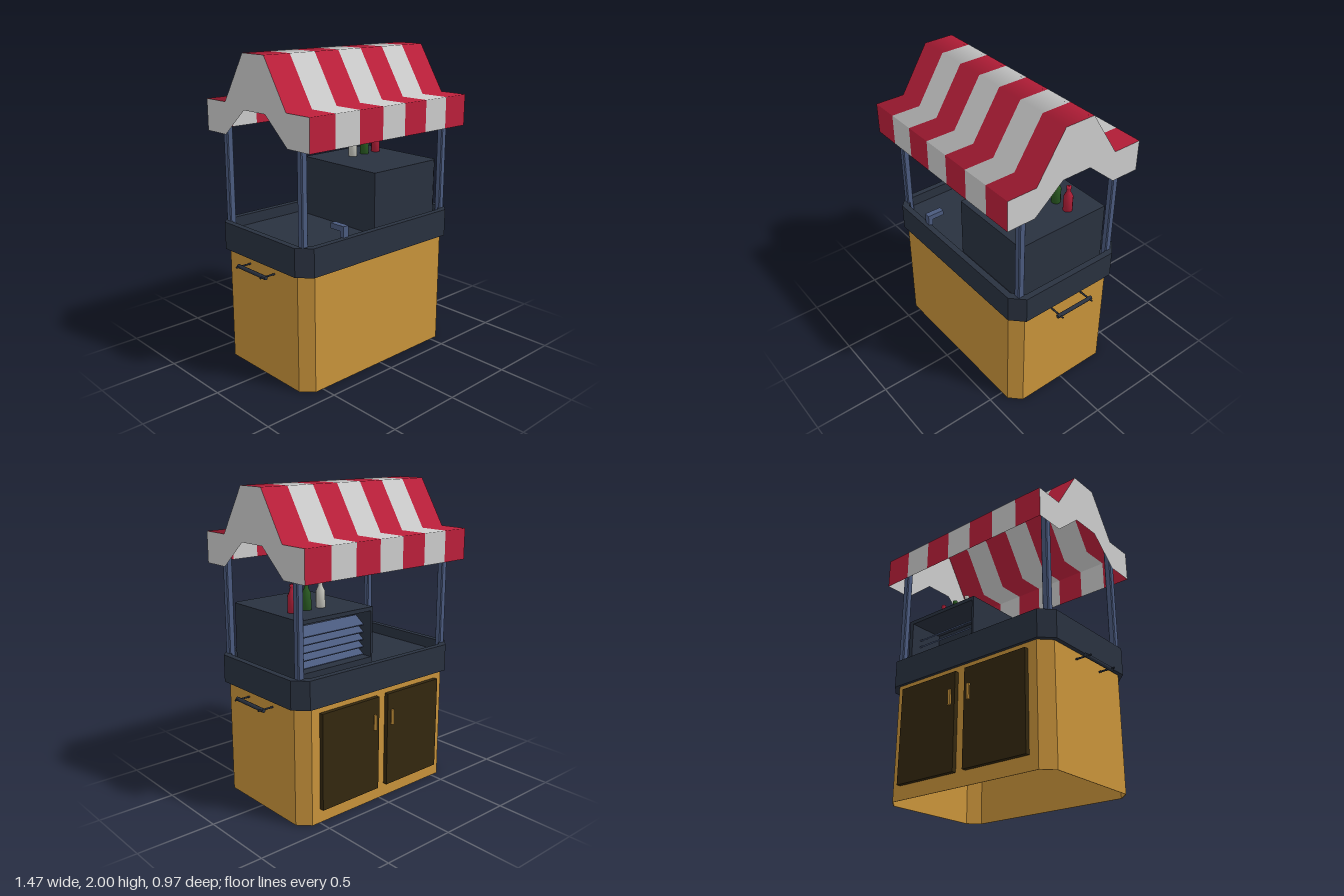
import * as THREE from 'three';

const mat = (color, side = THREE.FrontSide) => new THREE.MeshStandardMaterial({ color, side });
const WOOD = mat(0xc8933a), DARK = mat(0x29313f), STEEL = mat(0x4a5a7e), DOOR = mat(0x33270f);
const RED = mat(0xbb1f3a, THREE.DoubleSide), GREY = mat(0xcccccc, THREE.DoubleSide);

export function createModel() {
  const model = new THREE.Group();

  const add = (name, geometry, material, x = 0, y = 0, z = 0) => {
    const mesh = new THREE.Mesh(geometry, material);
    mesh.name = name;
    mesh.position.set(x, y, z);
    model.add(mesh);
    return mesh;
  };
  // Box given by its minimum and maximum corners
  const block = (name, material, [x0, y0, z0], [x1, y1, z1]) =>
    add(name, new THREE.BoxGeometry(x1 - x0, y1 - y0, z1 - z0), material,
      (x0 + x1) / 2, (y0 + y1) / 2, (z0 + z1) / 2);
  const points = (list) => list.map(([x, y]) => new THREE.Vector2(x, y));
  // Rectangle with cut corners, as plan points
  const plan = (w, d, c) => points([
    [w - c, -d], [w, -d + c], [w, d - c], [w - c, d],
    [-w + c, d], [-w, d - c], [-w, -d + c], [-w + c, -d],
  ]);
  const rect = (x0, y0, x1, y1) => points([[x0, y0], [x1, y0], [x1, y1], [x0, y1]]);
  // Outline extruded along z, with an optional hole
  const extrude = (outer, depth, hole) => {
    const shape = new THREE.Shape(outer);
    if (hole) shape.holes.push(new THREE.Path(hole));
    return new THREE.ExtrudeGeometry(shape, { depth, bevelEnabled: false });
  };
  const prism = (outer, height, hole) => extrude(outer, height, hole).rotateX(-Math.PI / 2);

  // Cabinet walls, open underneath, and counter tray
  add('cabinet', prism(plan(0.63, 0.405, 0.072), 0.75, plan(0.626, 0.401, 0.071)), WOOD, 0, 0, -0.005);
  add('counterBase', prism(plan(0.66, 0.425, 0.08), 0.11), DARK, 0.002, 0.75, -0.005);
  add('counterRim', prism(plan(0.66, 0.425, 0.08), 0.07, plan(0.62, 0.385, 0.065)),
    DARK, 0.002, 0.86, -0.005);

  // Cupboard doors with pulls, on the back
  for (const s of [1, -1]) {
    add('door', new THREE.BoxGeometry(0.46, 0.62, 0.03), DOOR, s * 0.267, 0.4, -0.424);
    add('doorPull', new THREE.BoxGeometry(0.018, 0.1, 0.012), WOOD, s * 0.075, 0.55, -0.444);
  }

  // Push handles on both ends
  for (const s of [1, -1]) {
    add('handleBar', new THREE.CylinderGeometry(0.013, 0.013, 0.28, 8).rotateX(Math.PI / 2),
      DARK, s * 0.708, 0.702, -0.008);
    for (const z of [-0.13, 0.112])
      add('handleBracket', new THREE.CylinderGeometry(0.006, 0.006, 0.11, 8).rotateZ(Math.PI / 2),
        DARK, s * 0.682, 0.702, z);
  }

  // Roof posts
  const post = prism(plan(0.022, 0.022, 0.006), 0.835);
  for (const x of [-0.601, 0.601])
    for (const z of [-0.355, 0.35]) add('post', post, STEEL, x, 0.86, z);

  // Raised unit: solid front with a cut corner, open compartment at the back
  add('unitFront', prism(points([[0, 0.08], [0, -0.33], [0.555, -0.33], [0.58, -0.315],
    [0.58, 0.08]]), 0.4), DARK, 0, 0.86, 0);
  add('unitCompartment', extrude(rect(0, 0.86, 0.58, 1.26), 0.25, rect(0.015, 0.94, 0.55, 1.235)),
    DARK, 0, 0, -0.33);

  // Tilted slats set back in the compartment
  for (let i = 0; i < 5; i++) {
    const slat = add('slat', new THREE.BoxGeometry(0.535, 0.01, 0.085), STEEL,
      0.2825, 0.965 + i * 0.048, -0.225);
    slat.rotation.x = -0.6;
  }

  // Tap standing on the front rim
  block('tapStem', STEEL, [-0.325, 0.92, 0.365], [-0.285, 1.0, 0.395]);
  block('tapSpout', STEEL, [-0.325, 0.965, 0.28], [-0.285, 1.0, 0.365]);

  // Bottles
  const bottle = new THREE.LatheGeometry(points([
    [0, 0], [0.03, 0], [0.03, 0.1], [0.015, 0.13], [0.013, 0.155],
    [0.016, 0.155], [0.016, 0.17], [0, 0.17],
  ]), 10);
  [[0.25, 0xc8c8c0], [0.36, 0x2a5c22], [0.468, 0xb01f38]].forEach(([x, color]) =>
    add('bottle', bottle, mat(color), x, 1.26, -0.128));

  // Striped canopy sheet: profile points are [z, y], front to back.
  // Normals lean by ny, nz to each side, so only the crest is rounded.
  const roof = [[0.485, 1.7], [0.29, 1.7], [0.1, 2], [-0.1, 2], [-0.29, 1.7], [-0.485, 1.7]];
  const sheet = (profile, x0, x1, ny, nz) => {
    const position = [], normal = [], index = [];
    profile.forEach(([z, y], i) => {
      const a = 2 * i, n = nz * Math.sign(z);
      position.push(x0, y, z, x1, y, z);
      normal.push(0, ny, n, 0, ny, n);
      if (i < profile.length - 1) index.push(a, a + 1, a + 3, a, a + 3, a + 2);
    });
    const geo = new THREE.BufferGeometry();
    geo.setAttribute('position', new THREE.Float32BufferAttribute(position, 3));
    geo.setAttribute('normal', new THREE.Float32BufferAttribute(normal, 3));
    geo.setIndex(index);
    return geo;
  };
  const left = 0.656, right = -0.66, step = (left - right) / 7;
  for (let i = 0; i < 7; i++) {
    const x0 = right + i * step, x1 = x0 + step, stripe = i % 2 ? GREY : RED;
    add('canopyStripe', sheet(roof, x0, x1, 0.53, 0.85), stripe);
    add('frontValance', sheet([[0.485, 1.5], [0.485, 1.7]], x0, x1, 0, 1), stripe);
    add('backValance', sheet([[-0.485, 1.7], [-0.485, 1.5]], x0, x1, 0, 1), stripe);
  }

  // Canopy end panels
  const end = new THREE.ShapeGeometry(new THREE.Shape(points([...roof, [-0.485, 1.5],
    [-0.295, 1.5], [-0.1, 1.67], [0.1, 1.67], [0.295, 1.5], [0.485, 1.5]])));
  add('canopyEnd', end.clone().rotateY(-Math.PI / 2), GREY, right);
  add('canopyEnd', end.rotateY(Math.PI / 2), GREY, left);

  return model;
}
